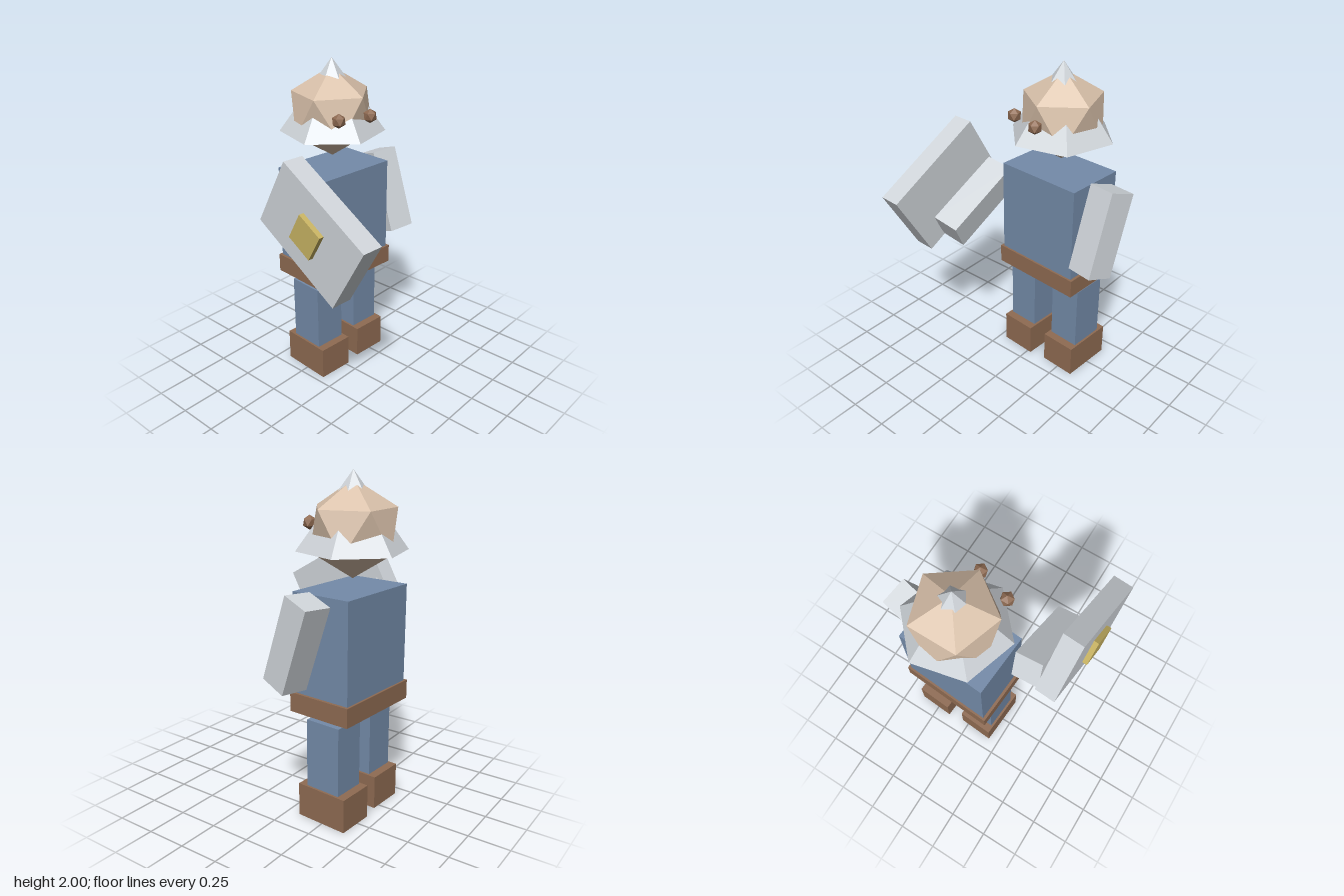
import * as THREE from 'three';

const mat = (name, color) => {
  const m = new THREE.MeshStandardMaterial({ color, flatShading: true });
  m.name = name;
  return m;
};

export function createModel() {
  const model = new THREE.Group();
  model.name = 'figure';
  const blue = mat('blue cloth', 0x748ba9);
  const brown = mat('brown leather', 0x8f6b52);
  const skin = mat('skin', 0xd9c1aa);
  const silver = mat('silver', 0xd0d5da);
  const gold = mat('gold', 0xc9b463);

  const add = (name, geometry, material, pos, rot = [0, 0, 0], parent = model) => {
    const mesh = new THREE.Mesh(geometry, material);
    mesh.name = name;
    mesh.position.set(...pos);
    mesh.rotation.set(...rot);
    parent.add(mesh);
    return mesh;
  };
  const box = (name, size, material, pos, rot, parent) =>
    add(name, new THREE.BoxGeometry(...size), material, pos, rot, parent);

  // icosahedron standing on one of its points
  const gem = (r) => new THREE.IcosahedronGeometry(r).rotateX(-Math.atan((1 + Math.sqrt(5)) / 2));

  // Body, turned slightly to one side
  const cx = 0.089, cz = -0.252, turn = [0, -0.068, 0];
  box('torso', [0.555, 0.595, 0.38], blue, [cx, 1.0575, cz], turn);
  box('belt', [0.59, 0.115, 0.405], brown, [cx, 0.7125, cz], turn);

  // Legs and boots
  for (const [side, s] of [['left', 1], ['right', -1]]) {
    const x = cx + s * 0.168;
    box(side + 'Leg', [0.202, 0.42, 0.226], blue, [x, 0.41, cz], turn);
    box(side + 'Boot', [0.23, 0.205, 0.33], brown, [x, 0.1025, cz], turn);
  }

  // Head pushed through a six-sided helmet cone
  add('head', gem(0.27), skin, [0.094, 1.68, -0.265]);
  add('helmet', new THREE.ConeGeometry(0.317, 0.435, 6), silver, [0.093, 1.7825, -0.261], [0, 0.745, 0]);
  add('leftEye', gem(0.042), brown, [0.115, 1.7, 0.013]);
  add('rightEye', gem(0.042), brown, [-0.083, 1.7, -0.048]);

  // Arms
  const armSize = [0.173, 0.52, 0.175];
  box('leftArm', armSize, silver, [0.472, 1.102, -0.152], [-0.33, -0.22, -0.02]);
  box('rightArm', armSize, silver, [-0.317, 1.11, 0.042], [-1.07, 0.145, -0.06]);

  // Shield with its boss
  const shield = new THREE.Group();
  shield.name = 'shield';
  shield.position.set(-0.48, 1.222, 0.155);
  shield.rotation.set(-1.055, -0.03, -0.055);
  model.add(shield);
  box('shieldPlate', [0.13, 0.672, 0.46], silver, [0, 0, 0], [0, 0, 0], shield);
  box('shieldBoss', [0.04, 0.175, 0.18], gold, [-0.076, 0, 0], [0, 0, 0], shield);

  return model;
}
